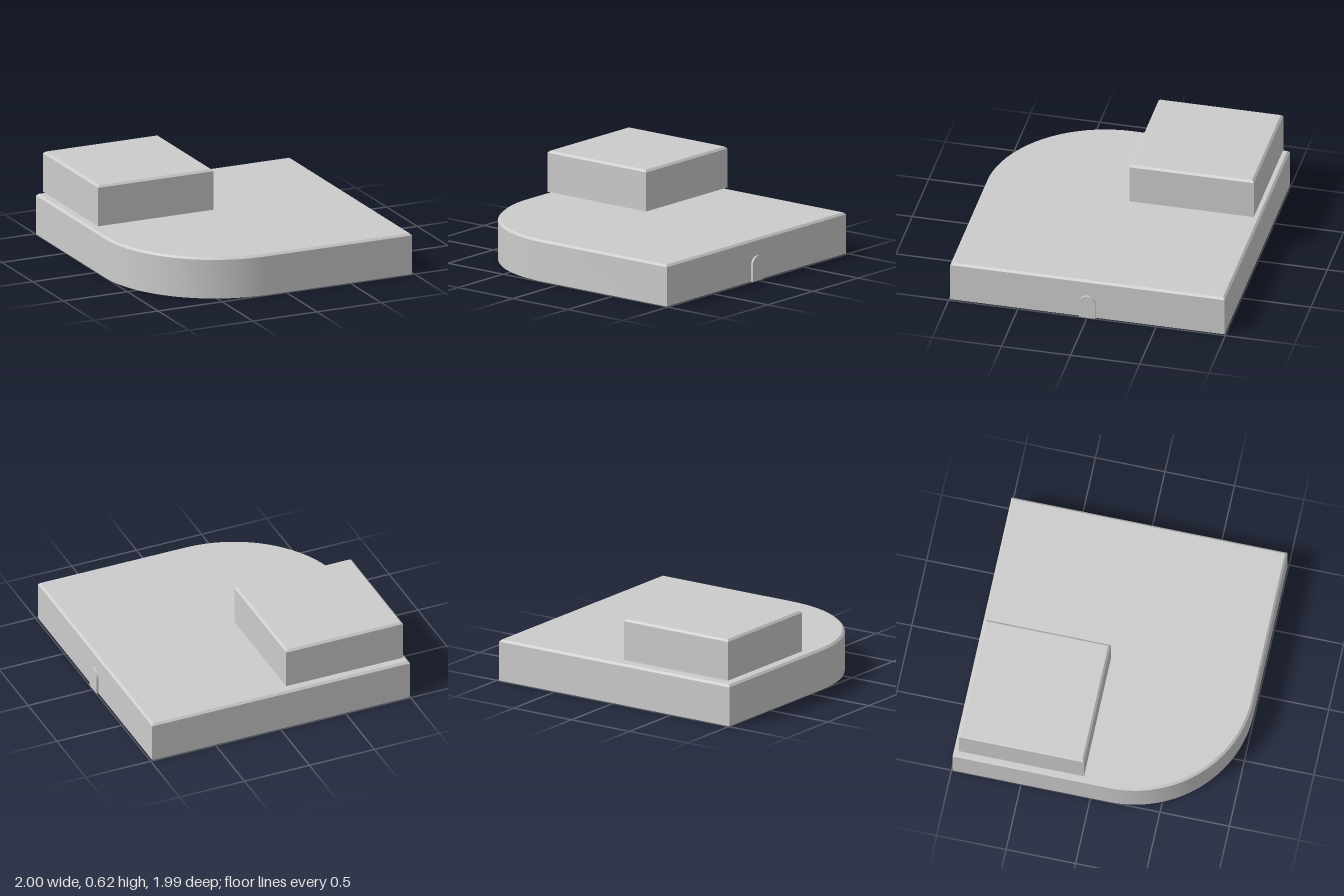
import * as THREE from 'three';
import { toCreasedNormals } from 'three/addons/utils/BufferGeometryUtils.js';

const material = new THREE.MeshStandardMaterial({ color: 0xcccccc });

function addMesh(parent, name, geometry, x = 0, y = 0, z = 0) {
  const mesh = new THREE.Mesh(geometry, material);
  mesh.name = name;
  mesh.position.set(x, y, z);
  parent.add(mesh);
}

// Upright slab with a chamfer around its top edge only; the outline is centred on the origin
function chamferedSlab(shape, width, depth, height, chamfer) {
  const geometry = new THREE.ExtrudeGeometry(shape, {
    depth: height, steps: 2, bevelEnabled: false, curveSegments: 10,
  });
  const p = geometry.attributes.position;
  for (let i = 0; i < p.count; i++) {
    const level = Math.round((p.getZ(i) / height) * 2);
    if (level === 1) p.setZ(i, height - chamfer);
    if (level === 2) {
      p.setX(i, p.getX(i) * (1 - (2 * chamfer) / width));
      p.setY(i, p.getY(i) * (1 - (2 * chamfer) / depth));
    }
  }
  geometry.rotateX(-Math.PI / 2);
  return toCreasedNormals(geometry, 0.3);
}

// Rectangle with its front right corner rounded by the given radius
function outline(width, depth, radius = 0) {
  const w = width / 2, d = depth / 2;
  const shape = new THREE.Shape();
  shape.moveTo(-w, d);
  shape.lineTo(-w, -d + radius);
  if (radius > 0) shape.absarc(-w + radius, -d + radius, radius, Math.PI, 1.5 * Math.PI, false);
  shape.lineTo(w, -d);
  shape.lineTo(w, d);
  shape.closePath();
  return shape;
}

export function createModel() {
  const model = new THREE.Group();
  model.name = 'building';

  // Wide lower storey with one sweeping corner
  addMesh(model, 'lowerStorey',
    chamferedSlab(outline(1.985, 1.985, 0.85), 1.985, 1.985, 0.3, 0.015), -0.0075, 0, 0);

  // Small spacer carrying the upper block
  addMesh(model, 'spacer', new THREE.BoxGeometry(0.15, 0.03, 0.29), -0.835, 0.31, -0.262);

  // Square upper storey
  addMesh(model, 'upperStorey',
    chamferedSlab(outline(0.9, 0.9), 0.9, 0.9, 0.298, 0.015), -0.513, 0.32, -0.504);

  // Arched door standing slightly proud of the left wall
  const arch = new THREE.Shape();
  arch.moveTo(-0.058, 0);
  arch.lineTo(0.058, 0);
  arch.absarc(0, 0.12, 0.058, 0, Math.PI, false);
  arch.closePath();
  const door = new THREE.ExtrudeGeometry(arch, { depth: 0.025, bevelEnabled: false, curveSegments: 12 });
  door.rotateY(Math.PI / 2);
  addMesh(model, 'archedDoor', toCreasedNormals(door, 0.5), 0.975, 0, 0);

  return model;
}
